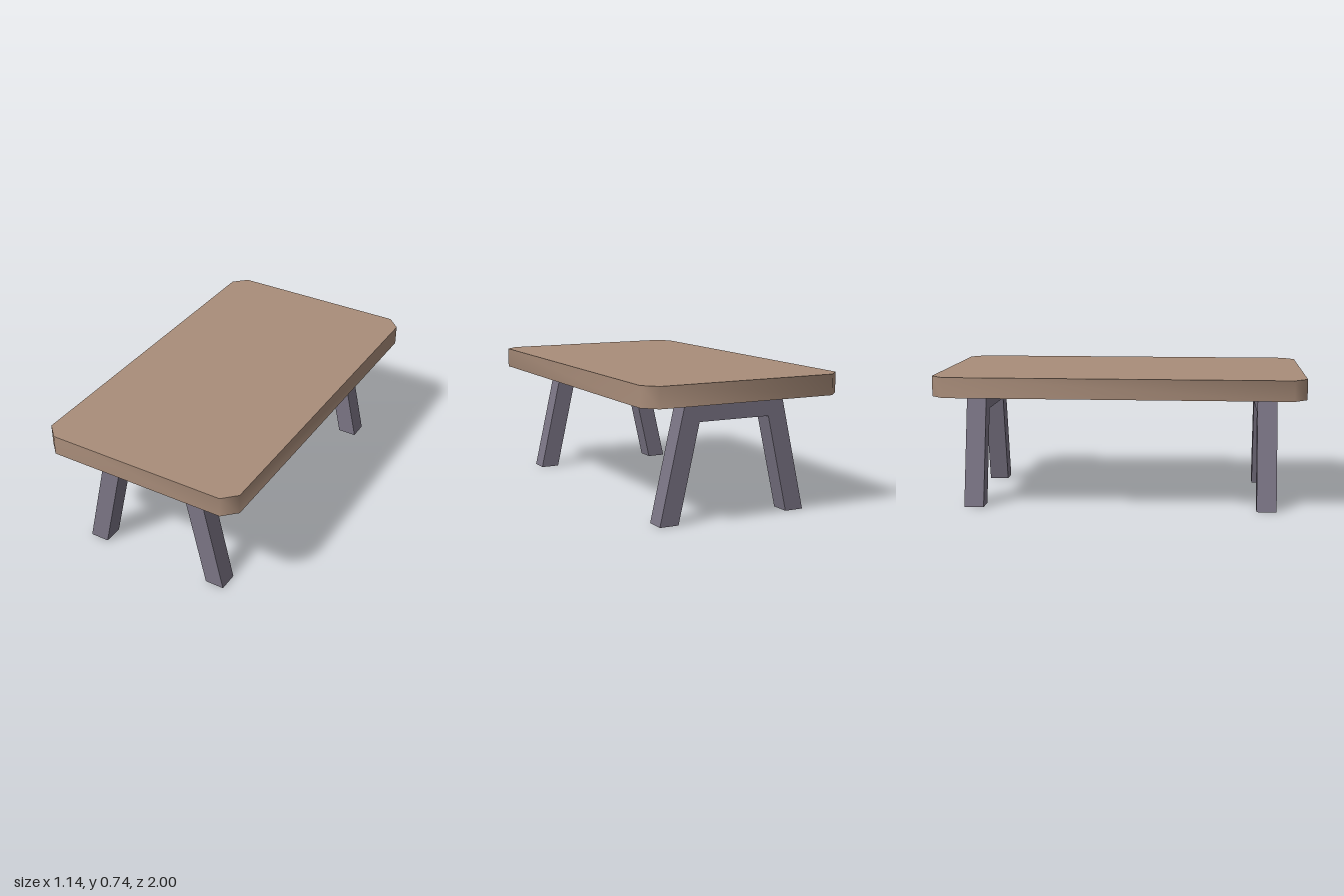
import * as THREE from 'three';
import { toCreasedNormals } from 'three/addons/utils/BufferGeometryUtils.js';

const wood = new THREE.MeshStandardMaterial({ color: 0xa98d7a });
wood.name = 'brown wood';
const metal = new THREE.MeshStandardMaterial({ color: 0x7b7585 });
metal.name = 'grey violet metal';

// Extrude a closed outline along +z
function extrude(points, depth) {
  const shape = new THREE.Shape(points.map(([x, y]) => new THREE.Vector2(x, y)));
  return new THREE.ExtrudeGeometry(shape, { depth, bevelEnabled: false });
}

export function createModel() {
  const table = new THREE.Group();
  table.name = 'table';
  const underside = 0.627, thickness = 0.11;

  // Tabletop: rectangle with cut corners, softly shaded round the rim
  const w = 0.571, l = 1, cut = 0.071;
  const outline = [
    [w, -l + cut], [w, l - cut], [w - cut, l], [-w + cut, l],
    [-w, l - cut], [-w, -l + cut], [-w + cut, -l], [w - cut, -l],
  ];
  const topGeometry = extrude(outline, thickness).rotateX(-Math.PI / 2);
  const top = new THREE.Mesh(toCreasedNormals(topGeometry, Math.PI / 3), wood);
  top.name = 'tabletop';
  top.position.y = underside;
  table.add(top);

  // Trestles: splayed legs joined by a crossbar, one at each end
  const half = [[0.322, 0], [0.428, 0], [0.285, underside]];
  const frame = [
    [0.204, 0.52], ...half,
    ...half.map(([x, y]) => [-x, y]).reverse(), [-0.204, 0.52],
  ];
  const depth = 0.108;
  const frameGeometry = extrude(frame, depth).translate(0, 0, -depth / 2);
  for (const [name, z] of [['frontLegs', 0.804], ['backLegs', -0.804]]) {
    const legs = new THREE.Mesh(frameGeometry, metal);
    legs.name = name;
    legs.position.z = z;
    table.add(legs);
  }
  return table;
}
